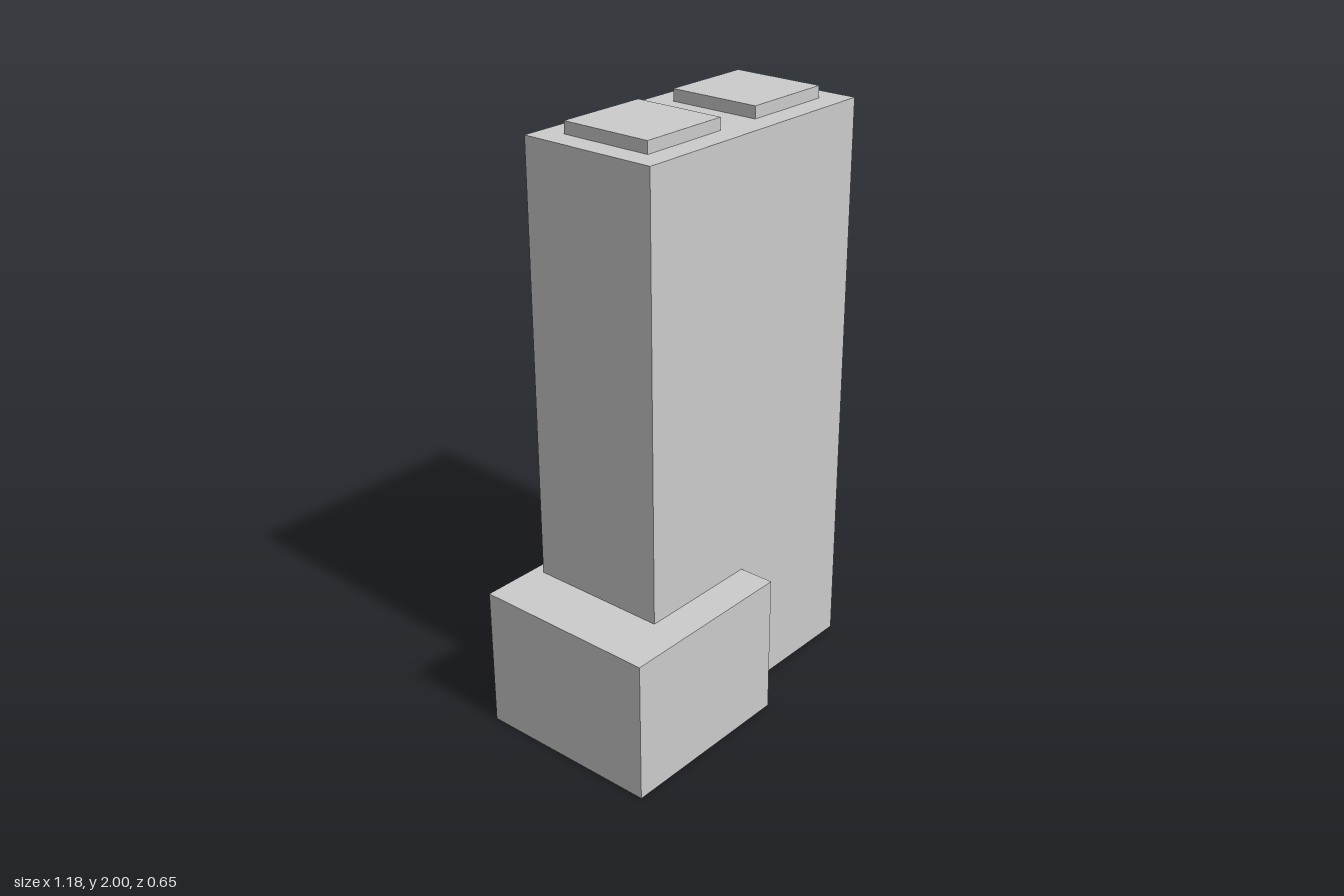
import * as THREE from 'three';

const material = new THREE.MeshStandardMaterial({ color: 0xcccccc, flatShading: true });

// Box given by its lower and upper limits on each axis
function block(name, [x0, x1], [y0, y1], [z0, z1]) {
  const mesh = new THREE.Mesh(new THREE.BoxGeometry(x1 - x0, y1 - y0, z1 - z0), material);
  mesh.position.set((x0 + x1) / 2, (y0 + y1) / 2, (z0 + z1) / 2);
  mesh.name = name;
  return mesh;
}

export function createModel() {
  const model = new THREE.Group();
  model.name = 'towerBlock';

  // Main slab and the lower entrance block that wraps one end of it
  model.add(block('tower', [-0.382, 0.59], [0, 1.96], [-0.285, 0.2]));
  model.add(block('podium', [-0.59, 0.055], [0, 0.487], [-0.323, 0.323]));

  // Two flat plant rooms on the roof
  ['rightRoofUnit', 'leftRoofUnit'].forEach((name, i) => {
    const x = -0.301 + i * 0.487;
    model.add(block(name, [x, x + 0.323], [1.96, 2], [-0.203, 0.12]));
  });

  return model;
}
